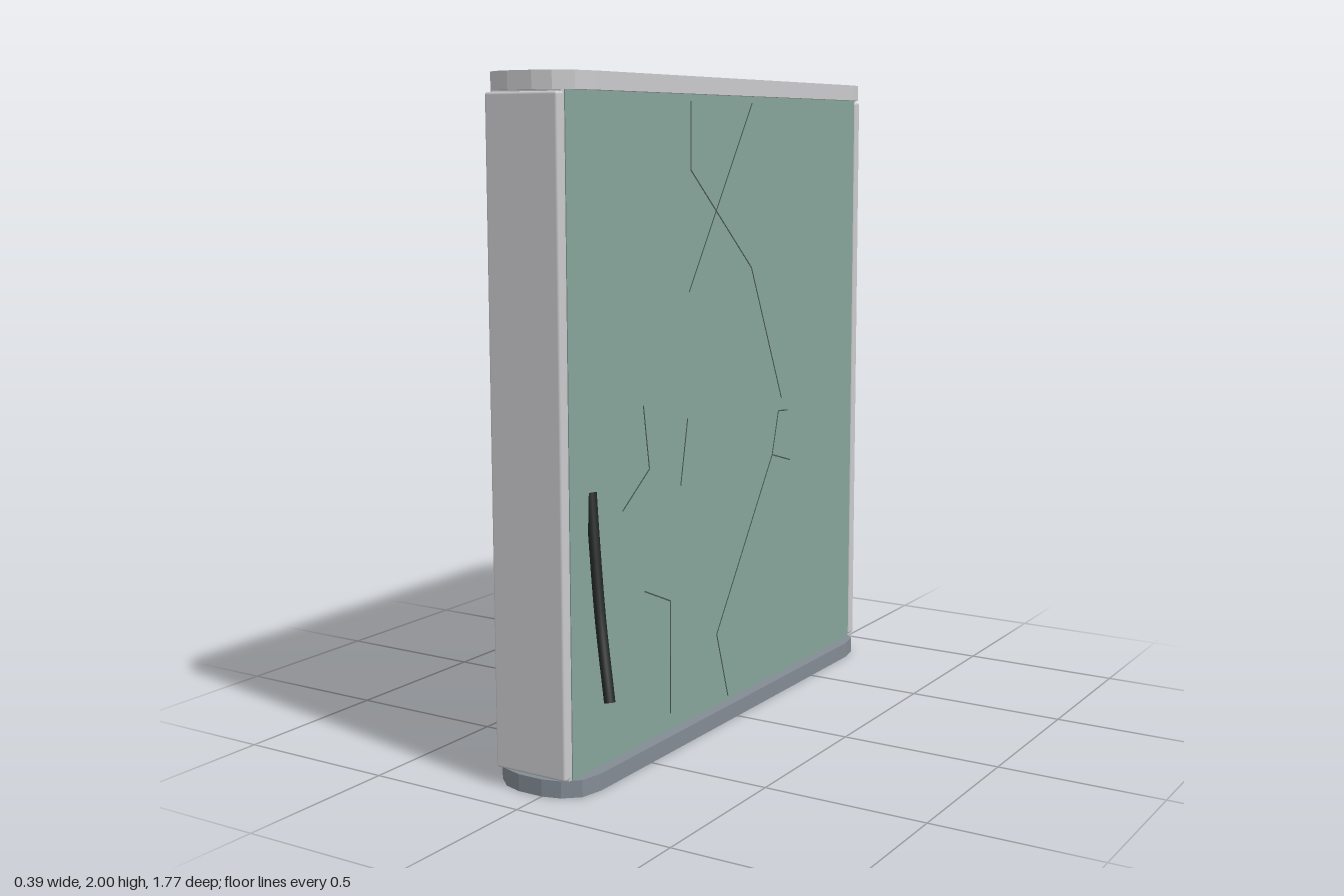
import * as THREE from 'three';
import { RoundedBoxGeometry } from 'three/addons/geometries/RoundedBoxGeometry.js';

const CX = -0.04; // middle of the case in x
const FACE = 0.119; // distance from the middle to each glass face

const material = (name, color, side = THREE.FrontSide) => {
  const m = new THREE.MeshStandardMaterial({ color, side });
  m.name = name;
  return m;
};

export function createModel() {
  const model = new THREE.Group();
  model.name = 'crackedGlassCase';
  const silver = material('silver', 0xcbcbcd);
  const slate = material('slate', 0x838b94);
  const glass = material('greenGlass', 0x86a59a, THREE.DoubleSide);
  const crackDark = material('crackGreen', 0x465850);
  const black = material('black', 0x222726);

  const add = (name, geometry, mat, x = 0, y = 0, z = 0, parent = model) => {
    const mesh = new THREE.Mesh(geometry, mat);
    mesh.name = name;
    mesh.position.set(x, y, z);
    parent.add(mesh);
    return mesh;
  };

  // Rounded caps at top and bottom
  const w = 0.156, d = 0.886;
  const outline = [[w, 0.76], [0.141, 0.83], [0.095, 0.87], [0.04, d]];
  const loop = [
    ...outline,
    ...outline.map(([x, z]) => [-x, z]).reverse(),
    ...outline.map(([x, z]) => [-x, -z]),
    ...outline.map(([x, z]) => [x, -z]).reverse(),
  ];
  const capShape = new THREE.Shape(loop.map(([x, z]) => new THREE.Vector2(x, z)));
  const capGeometry = new THREE.ExtrudeGeometry(capShape, { depth: 0.05, bevelEnabled: false });
  capGeometry.rotateX(-Math.PI / 2);
  add('topCap', capGeometry, silver, CX, 1.95);
  add('bottomCap', capGeometry, slate, CX, 0);

  // Glass body
  add('glassBody', new THREE.BoxGeometry(FACE * 2, 1.9, 1.69), glass, CX, 1);

  // End posts with a slim trim against the glass
  for (const s of [1, -1]) {
    const name = s > 0 ? 'front' : 'back';
    add(name + 'Post', new RoundedBoxGeometry(0.242, 1.89, 0.035, 2, 0.008), silver, CX, 1, s * 0.867);
    add(name + 'Trim', new THREE.BoxGeometry(0.232, 1.9, 0.02), silver, CX, 1, s * 0.851);
  }

  // Hairline cracks, each a [z, y] path on one face
  const cracks = {
    left: [
      [[-0.38, 0.935], [-0.32, 0.94], [-0.28, 0.8], [0.07, 0.28], [0, 0.06]],
      [[-0.28, 0.8], [-0.4, 0.765]],
      [[0.24, 0.99], [0.28, 0.79]],
      [[0.34, 0.1], [0.34, 0.45], [0.48, 0.51]],
      [[0.48, 1.06], [0.45, 0.87], [0.59, 0.77]],
      [[0.22, 1.93], [0.22, 1.73], [-0.14, 1.42], [-0.34, 0.98]],
      [[-0.14, 1.93], [0.23, 1.37]],
    ],
    right: [
      [[0.43, 1.69], [0.21, 1.38], [0.28, 1.3]],
      [[0.53, 1.48], [0.36, 1.26]],
      [[-0.22, 1.26], [-0.5, 1.1], [-0.6, 0.78], [-0.78, 0.09]],
      [[-0.02, 1.01], [-0.6, 0.78]],
      [[-0.3, 0.63], [-0.16, 0.27], [-0.16, 0.06]],
    ],
  };
  for (const [side, paths] of Object.entries(cracks)) {
    const group = new THREE.Group();
    group.name = side + 'Cracks';
    model.add(group);
    const x = CX + (side === 'left' ? FACE : -FACE);
    for (const path of paths) {
      for (let i = 1; i < path.length; i++) {
        const [z0, y0] = path[i - 1], [z1, y1] = path[i];
        const length = Math.hypot(z1 - z0, y1 - y0);
        const line = add('crack', new THREE.BoxGeometry(0.002, length, 0.004), crackDark,
          x, (y0 + y1) / 2, (z0 + z1) / 2, group);
        line.rotation.x = Math.atan2(z1 - z0, y1 - y0);
      }
    }
  }

  // Tilted shard standing slightly proud of the right face: [y, z, lift]
  const rim = [[0.05, -0.15, 0.014], [0.26, -0.15, 0.014], [0.45, 0.28, 0.001], [0.05, 0.5, 0.001]];
  const points = [];
  const faceX = CX - FACE;
  const outer = rim.map(([y, z, lift]) => [faceX - lift, y, z]);
  const inner = rim.map(([y, z]) => [faceX, y, z]);
  points.push(...outer[0], ...outer[2], ...outer[1], ...outer[0], ...outer[3], ...outer[2]);
  for (let i = 0; i < 4; i++) {
    const j = (i + 1) % 4;
    points.push(...outer[i], ...outer[j], ...inner[j], ...outer[i], ...inner[j], ...inner[i]);
  }
  const shard = new THREE.BufferGeometry();
  shard.setAttribute('position', new THREE.Float32BufferAttribute(points, 3));
  shard.computeVertexNormals();
  add('looseShard', shard, glass);

  // Bent black rods sticking out of the glass
  const rod = (name, path) => {
    const curve = new THREE.CatmullRomCurve3(path.map((p) => new THREE.Vector3(...p)));
    add(name, new THREE.TubeGeometry(curve, 16, 0.016, 8), black);
    for (const t of [0, 1]) {
      const end = new THREE.CircleGeometry(0.016, 8);
      const out = curve.getTangent(t).multiplyScalar(t ? 1 : -1);
      const p = curve.getPoint(t);
      add(name + 'End', end, black, p.x, p.y, p.z).quaternion
        .setFromUnitVectors(new THREE.Vector3(0, 0, 1), out);
    }
  };
  rod('leftRod', [[0.076, 0.85, 0.74], [0.092, 0.72, 0.75], [0.125, 0.5, 0.77], [0.178, 0.28, 0.805]]);
  rod('rightRod', [[-0.184, 0.99, 0.795], [-0.168, 0.87, 0.785], [-0.148, 0.75, 0.775], [-0.125, 0.65, 0.768]]);

  return model;
}
